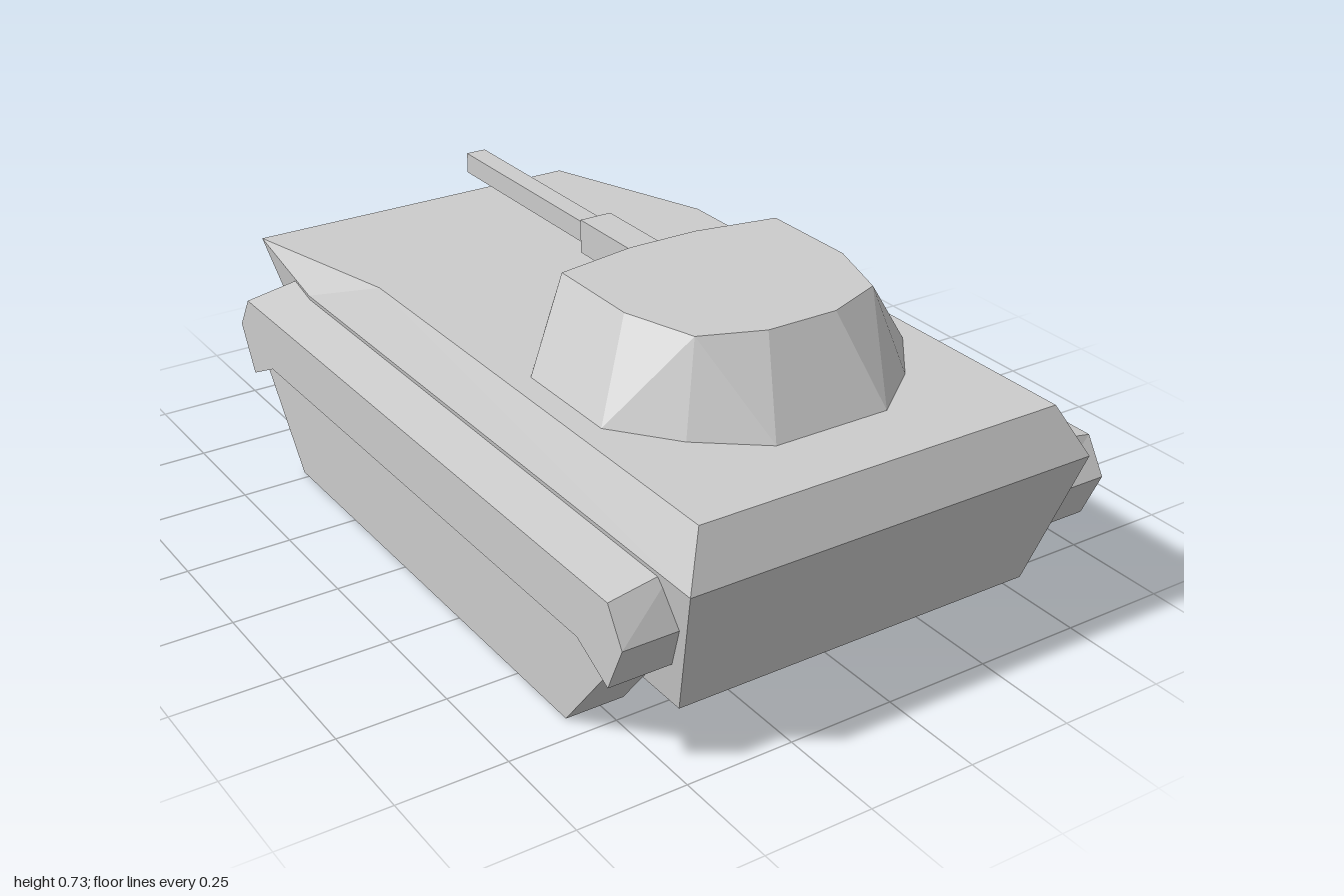
import * as THREE from 'three';
import { ConvexGeometry } from 'three/addons/geometries/ConvexGeometry.js';

const material = new THREE.MeshStandardMaterial({ color: 0xcccccc, flatShading: true });

function addPart(group, name, geometry) {
  const mesh = new THREE.Mesh(geometry, material);
  mesh.name = name;
  group.add(mesh);
  return mesh;
}

// Convex solid from points [x, y, z], each mirrored to both sides.
function mirroredSolid(points) {
  return new ConvexGeometry(points.flatMap(([x, y, z]) =>
    [new THREE.Vector3(x, y, z), new THREE.Vector3(-x, y, z)]));
}

// Side profile of [z, y] points, extruded across x from x0 to x1.
function sideProfile(points, x0, x1) {
  const shape = new THREE.Shape(points.map(([z, y]) => new THREE.Vector2(z, y)));
  const geometry = new THREE.ExtrudeGeometry(shape, { depth: x1 - x0, bevelEnabled: false });
  return geometry.rotateY(-Math.PI / 2).translate(x1, 0, 0);
}

function box(x, y0, y1, z0, z1) {
  return new THREE.BoxGeometry(2 * x, y1 - y0, z1 - z0)
    .translate(0, (y0 + y1) / 2, (z0 + z1) / 2);
}

export function createModel() {
  const model = new THREE.Group();
  model.name = 'tank';

  // Hull: sloped nose at -z, bevelled deck, sides tapering to the belly
  addPart(model, 'hull', mirroredSolid([
    [0.445, 0.53, 0.945], [0.445, 0.53, -0.335],
    [0.5, 0.42, 1], [0.5, 0.42, -0.61], [0.445, 0.42, -1],
    [0.445, 0.09, 0.89], [0.445, 0.09, -0.6],
  ]));

  // Turret: twelve-sided base narrowing to a ten-sided roof
  const base = [[0.14, 0], [0.28, 0.11], [0.39, 0.25], [0.39, 0.525], [0.28, 0.665], [0.14, 0.775]];
  const roof = [[0.085, 0.165], [0.28, 0.2], [0.28, 0.44], [0.225, 0.61], [0.085, 0.665]];
  addPart(model, 'turret', mirroredSolid([
    ...base.map(([x, z]) => [x, 0.53, z]),
    ...roof.map(([x, z]) => [x, 0.725, z]),
  ]));

  // Gun
  addPart(model, 'gunSleeve', box(0.04, 0.605, 0.685, -0.11, 0.125));
  addPart(model, 'gunBarrel', box(0.025, 0.62, 0.67, -0.665, -0.11));

  // Running gear, one set per side
  const fenderProfile = [
    [0.89, 0.39], [0.94, 0.31], [0.89, 0.2], [0.78, 0.255],
    [-0.605, 0.255], [-0.715, 0.2], [-0.775, 0.31], [-0.725, 0.39],
  ];
  const trackProfile = [
    [0.87, 0.225], [0.69, 0], [-0.525, 0], [-0.7, 0.22], [-0.66, 0.3], [0.82, 0.3],
  ];
  for (const side of [1, -1]) {
    const span = (inner, outer) => (side > 0 ? [inner, outer] : [-outer, -inner]);
    const name = side > 0 ? 'left' : 'right';

    addPart(model, name + 'Track', sideProfile(trackProfile, ...span(0.445, 0.582)));

    // Fender top rises slightly toward the hull
    const fender = sideProfile(fenderProfile, ...span(0.46, 0.61));
    const p = fender.attributes.position;
    for (let i = 0; i < p.count; i++) {
      if (p.getY(i) > 0.38 && Math.abs(p.getX(i)) < 0.5) p.setY(i, 0.416);
    }
    fender.computeVertexNormals();
    addPart(model, name + 'Fender', fender);
  }

  return model;
}
